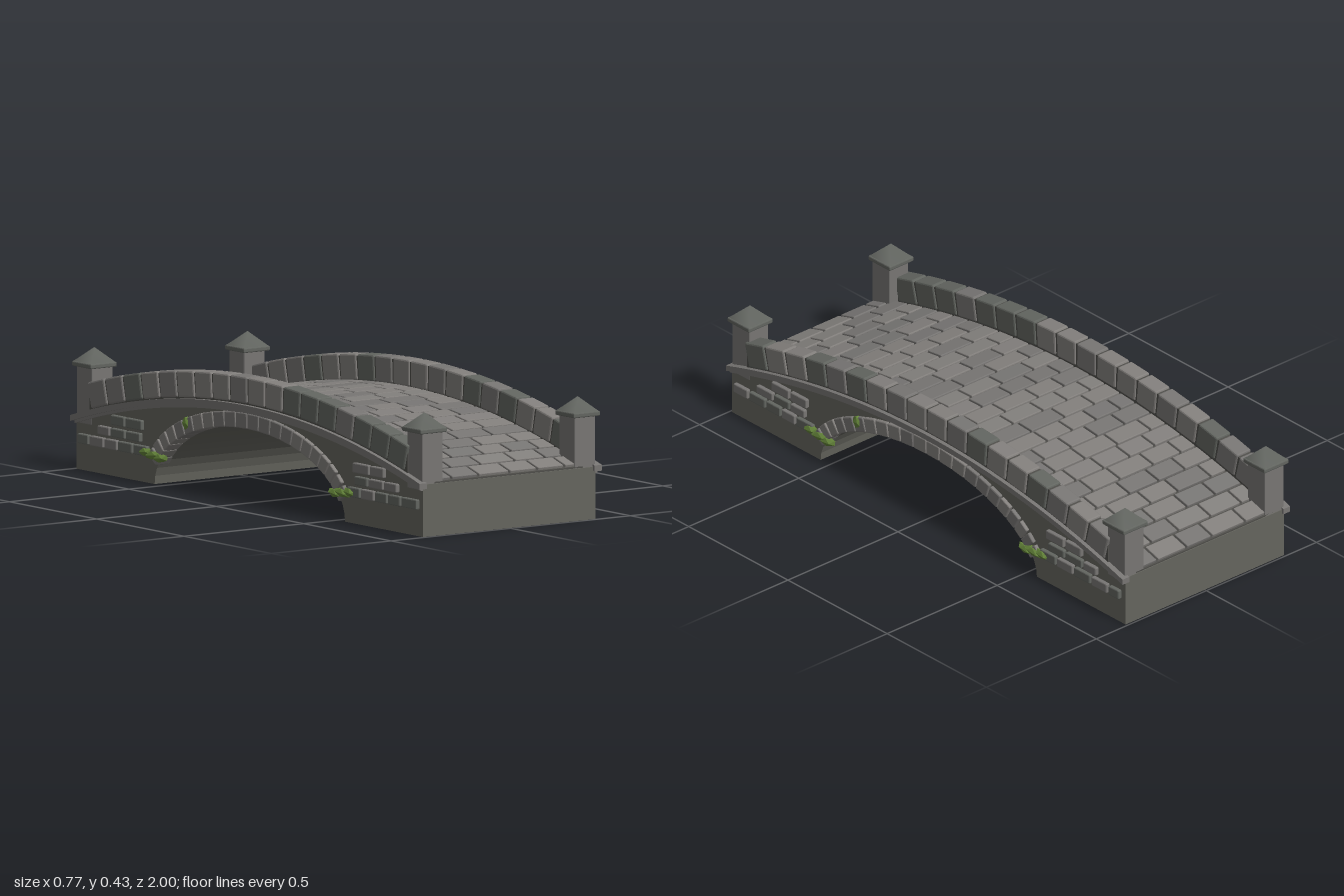
import * as THREE from 'three';
import { mergeGeometries } from 'three/addons/utils/BufferGeometryUtils.js';
import { RoundedBoxGeometry } from 'three/addons/geometries/RoundedBoxGeometry.js';

const mat = (name, color) => Object.assign(new THREE.MeshStandardMaterial({ color }), { name });

// Deck height and slope along the bridge
const deckY = (z) => 0.338 - 0.15 * z * z;
const deckTilt = (z) => Math.atan(0.3 * z);

// Bevelled stone block, flat faced, centred then turned about x
function block(w, h, d, x, y, z, tilt = 0, bevel = 0.004) {
  const g = new RoundedBoxGeometry(w, h, d, 1, Math.min(bevel, h / 3, w / 3, d / 3));
  g.computeVertexNormals();
  return g.rotateX(tilt).translate(x, y, z);
}

// Extrude a (z, y) outline across x
function across(points, x0, x1) {
  const shape = new THREE.Shape(points.map(([z, y]) => new THREE.Vector2(z, y)));
  const g = new THREE.ExtrudeGeometry(shape, { depth: x1 - x0, bevelEnabled: false });
  return g.rotateY(-Math.PI / 2).translate(x1, 0, 0);
}

// Curved band following the deck between two height offsets
function band(low, high, zEnd, x0, x1) {
  const pts = [];
  const n = 32;
  for (let i = 0; i <= n; i++) {
    const z = -zEnd + (2 * zEnd * i) / n;
    pts.push([z, deckY(z) + low]);
  }
  for (let i = n; i >= 0; i--) {
    const z = -zEnd + (2 * zEnd * i) / n;
    pts.push([z, deckY(z) + high]);
  }
  return across(pts, x0, x1);
}

export function createModel() {
  const bridge = new THREE.Group();
  bridge.name = 'stoneBridge';
  const wall = mat('wallStone', 0x64645d);
  const joint = mat('mortar', 0x4e4d49);
  const light = mat('lightStone', 0x827f7c);
  const mid = mat('midStone', 0x777573);
  const dark = mat('darkStone', 0x626560);
  const moss = mat('moss', 0x64843a);
  const shades = [light, mid, dark];

  let seed = 7;
  const rand = () => (seed = (seed * 16807) % 2147483647) / 2147483647;
  const add = (name, material, geoms) => {
    if (!geoms.length) return;
    const flat = geoms.map((g) => {
      const f = g.index ? g.toNonIndexed() : g;
      f.clearGroups();
      return f;
    });
    const mesh = new THREE.Mesh(mergeGeometries(flat), material);
    mesh.name = name;
    bridge.add(mesh);
  };
  const addShaded = (name, sets) => sets.forEach((s, i) => add(`${name}${i + 1}`, shades[i], s));

  // Solid body with the arch opening
  const A = 0.545, B = 0.255, END = 0.992;
  const outline = [[-END, 0], [-A, 0]];
  for (let i = 1; i < 28; i++) {
    const t = Math.PI * (1 - i / 28);
    outline.push([A * Math.cos(t), B * Math.sin(t)]);
  }
  outline.push([A, 0], [END, 0]);
  for (let i = 0; i <= 32; i++) {
    const z = END - (2 * END * i) / 32;
    outline.push([z, deckY(z) - 0.012]);
  }
  add('archBody', wall, [across(outline, -0.36, 0.36)]);
  add('deckMortar', joint, [band(-0.013, -0.007, 0.99, -0.31, 0.31)]);

  // Paving stones in staggered rows
  const pavers = [[], [], []];
  const rows = 26, pitch = 1.98 / rows;
  for (let r = 0; r < rows; r++) {
    const z = -0.99 + (r + 0.5) * pitch;
    let x = -0.308;
    let first = r % 2 ? 0.07 : 0.12;
    while (x < 0.307) {
      let w = first || 0.105 + rand() * 0.05;
      first = 0;
      if (0.308 - (x + w) < 0.05) w = 0.308 - x;
      pavers[rand() < 0.65 ? 0 : 1].push(
        block(w - 0.009, 0.018, pitch - 0.007, x + w / 2, deckY(z) - 0.006, z, deckTilt(z), 0.003));
      x += w;
    }
  }
  addShaded('paving', pavers);

  const parapets = [[], [], []], voussoirs = [[], [], []], bricks = [[], [], []];
  const cores = [], cornices = [], posts = [], caps = [], mosses = [];
  for (const s of [-1, 1]) {
    const span = (a, b) => (s > 0 ? [a, b] : [-b, -a]);

    // Parapet: recessed core and individual blocks
    cores.push(band(-0.012, 0.084, 0.91, ...span(0.313, 0.366)));
    const n = 18, step = 1.82 / n;
    for (let i = 0; i < n; i++) {
      const z = -0.91 + (i + 0.5) * step;
      const k = rand();
      const len = step / Math.cos(deckTilt(z)) - 0.008;
      parapets[k < 0.35 ? 0 : k < 0.7 ? 1 : 2].push(
        block(0.064, 0.09, len, s * 0.34, deckY(z) + 0.045, z, deckTilt(z), 0.006));
    }

    // Stepped cornice under the parapet
    cornices.push(band(-0.024, -0.004, 1, ...span(0.35, 0.381)));
    cornices.push(band(-0.034, -0.024, 0.99, ...span(0.35, 0.37)));

    // Ring of arch stones
    const m = 22, t0 = 0.27;
    for (let i = 0; i < m; i++) {
      const dt = (Math.PI - 2 * t0) / m;
      const t = t0 + (i + 0.5) * dt;
      const tz = -A * Math.sin(t), ty = B * Math.cos(t);
      const speed = Math.hypot(tz, ty);
      const nz = -ty / speed * -1, ny = -tz / speed;
      const z = A * Math.cos(t) + nz * 0.024, y = B * Math.sin(t) + ny * 0.024;
      voussoirs[rand() < 0.6 ? 0 : 1].push(
        block(0.06, 0.054, speed * dt - 0.001, s * 0.343, y, z, Math.atan2(nz, ny)));
    }

    for (const e of [-1, 1]) {
      // Raised bricks on the spandrel walls: [start, end, y, height]
      const courses = [[0.57, 0.975, 0.108, 0.034, 5], [0.61, 0.86, 0.15, 0.03, 3], [0.6, 0.785, 0.193, 0.034, 2]];
      for (const [a, b, y, h, count] of courses) {
        let z = a;
        for (let i = 0; i < count; i++) {
          const w = ((b - a) / count) * (i === count - 1 ? 1 : 0.9 + rand() * 0.2);
          const end = i === count - 1 ? b : z + w;
          bricks[rand() < 0.5 ? 1 : 2].push(
            block(0.03, h, end - z - 0.009, s * 0.359, y, e * (z + end) / 2));
          z = end;
        }
      }

      // Corner posts with pyramid caps
      posts.push(block(0.086, 0.2, 0.088, s * 0.318, 0.258, e * 0.946, 0, 0.003));
      caps.push(block(0.11, 0.017, 0.11, s * 0.32, 0.36, e * 0.945));
      caps.push(new THREE.ConeGeometry(0.052 * Math.SQRT2, 0.05, 4, 1).toNonIndexed()
        .rotateY(Math.PI / 4).translate(s * 0.32, 0.392, e * 0.945));

      // Moss tufts at the springing of the arch
      for (const [dz, dy, len] of [[0, 0, 0.05], [0.045, 0.006, 0.035], [-0.04, -0.006, 0.04]]) {
        mosses.push(new THREE.IcosahedronGeometry(1, 0).scale(0.018, 0.016, len)
          .rotateX(e * 0.12).translate(s * 0.368, 0.1 + dy, e * (0.54 + dz)));
      }
    }
    // Small tuft higher on the arch
    mosses.push(new THREE.IcosahedronGeometry(1, 0).scale(0.012, 0.025, 0.02)
      .translate(s * 0.37, 0.232, s * 0.35));
  }
  add('parapetCores', joint, cores);
  addShaded('parapetBlocks', parapets);
  add('cornices', mid, cornices);
  addShaded('archStones', voussoirs);
  addShaded('wallBricks', bricks);
  add('cornerPosts', mid, posts);
  add('postCaps', dark, caps);
  add('mossTufts', moss, mosses);
  return bridge;
}
